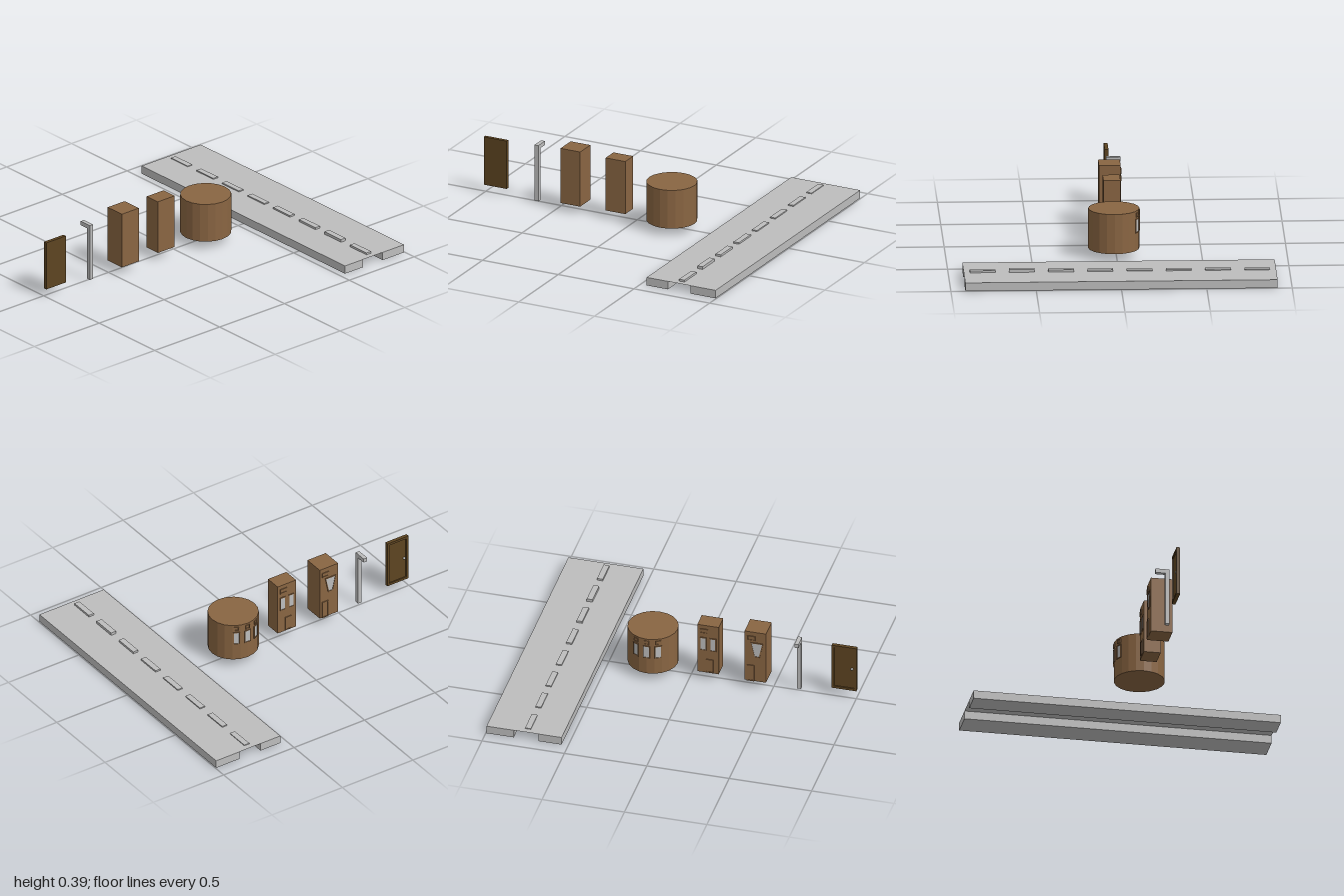
import * as THREE from 'three';

export function createModel() {
  const model = new THREE.Group();
  const mat = (name, color, extra = {}) => {
    const m = new THREE.MeshStandardMaterial({ color, ...extra });
    m.name = name;
    return m;
  };
  const grey = mat('concrete grey', 0xbdbdbd, { side: THREE.DoubleSide });
  const brown = mat('wall brown', 0x896542, { flatShading: true });
  const darkBrown = mat('door brown', 0x5d4421);

  const add = (name, geo, material, parent = model) => {
    const mesh = new THREE.Mesh(geo, material);
    mesh.name = name;
    parent.add(mesh);
    return mesh;
  };
  // box given by its limits on each axis
  const box = (name, material, [x0, x1], [y0, y1], [z0, z1], parent) => {
    const mesh = add(name, new THREE.BoxGeometry(x1 - x0, y1 - y0, z1 - z0), material, parent);
    mesh.position.set((x0 + x1) / 2, (y0 + y1) / 2, (z0 + z1) / 2);
    return mesh;
  };
  const group = (name) => {
    const g = new THREE.Group();
    g.name = name;
    model.add(g);
    return g;
  };
  // flat outline, wt wide at the top and wb wide at the bottom
  const outline = (Type, wt, wb, h) => new Type([
    new THREE.Vector2(-wb / 2, -h / 2), new THREE.Vector2(wb / 2, -h / 2),
    new THREE.Vector2(wt / 2, h / 2), new THREE.Vector2(-wt / 2, h / 2),
  ]);
  // framed opening facing +z, with a thin pane inside
  const opening = (name, wt, wb, h, pane) => {
    const g = new THREE.Group();
    g.name = name;
    const rim = outline(THREE.Shape, wt, wb, h);
    rim.holes.push(outline(THREE.Path, wt - 0.01, wb - 0.01, h - 0.01));
    add('frame', new THREE.ExtrudeGeometry(rim, { depth: 0.005, bevelEnabled: false }), brown, g);
    add('pane', new THREE.ShapeGeometry(outline(THREE.Shape, wt - 0.008, wb - 0.008, h - 0.008)), pane, g)
      .position.z = 0.002;
    return g;
  };
  const onBack = (parent, item, x, y, z) => {
    item.position.set(x, y, z);
    item.rotation.y = Math.PI;
    parent.add(item);
  };

  // road: two beams bridged by a thin deck, with raised lane dashes
  const road = group('road');
  const length = [-0.915, 0.915];
  box('rightBeam', grey, [0.54, 0.68], [0, 0.05], length, road);
  box('leftBeam', grey, [0.83, 0.995], [0, 0.05], length, road);
  const deck = add('deck', new THREE.PlaneGeometry(0.15, 1.83), grey, road);
  deck.rotation.x = -Math.PI / 2;
  deck.position.set(0.755, 0.05, 0);
  const tops = [0.055, 0.057, 0.057, 0.057, 0.06, 0.063, 0.067, 0.062];
  tops.forEach((top, i) => {
    const z = -0.805 + i * 0.23;
    box('laneDash', grey, [0.736, 0.771], [0.0495, top], [z - 0.075, z + 0.075], road);
  });

  // round house
  const round = group('roundHouse');
  add('roundWall', new THREE.CylinderGeometry(0.15, 0.15, 0.24, 20), brown, round)
    .position.set(0.237, 0.17, 0.015);
  const onRound = (item, angle, y) => {
    const r = 0.1485;
    item.position.set(0.237 + r * Math.sin(angle), y, 0.015 - r * Math.cos(angle));
    item.rotation.y = Math.PI - angle;
    round.add(item);
  };
  [-0.47, 0, 0.47].forEach((a) => {
    onRound(opening('window', 0.042, 0.042, 0.085, grey), a, 0.2);
    onRound(opening('smallWindow', 0.03, 0.03, 0.026, brown), a, 0.266);
  });

  // narrow house
  const narrow = group('narrowHouse');
  box('narrowWall', brown, [-0.175, -0.045], [0.05, 0.38], [-0.035, 0.065], narrow);
  [-0.08, -0.14].forEach((x) =>
    onBack(narrow, opening('window', 0.04, 0.04, 0.09, grey), x, 0.25, -0.035));
  onBack(narrow, opening('vent', 0.05, 0.05, 0.03, brown), -0.085, 0.34, -0.035);
  onBack(narrow, opening('houseDoor', 0.045, 0.045, 0.09, brown), -0.12, 0.1, -0.035);

  // tall house
  const tall = group('tallHouse');
  box('tallWall', brown, [-0.465, -0.335], [0.05, 0.393], [-0.048, 0.08], tall);
  onBack(tall, opening('taperedWindow', 0.075, 0.035, 0.1, grey), -0.41, 0.27, -0.048);
  onBack(tall, opening('vent', 0.05, 0.05, 0.03, brown), -0.375, 0.35, -0.048);
  onBack(tall, opening('houseDoor', 0.045, 0.045, 0.11, brown), -0.372, 0.105, -0.048);

  // street lamp with its arm reaching to the back
  const lamp = group('streetLamp');
  box('post', grey, [-0.665, -0.64], [0.01, 0.36], [0, 0.025], lamp);
  box('arm', grey, [-0.665, -0.64], [0.335, 0.36], [-0.058, 0], lamp);

  // door: plain front, framed back, knob
  const door = group('door');
  box('panel', darkBrown, [-1, -0.85], [0.05, 0.35], [0.01, 0.025], door);
  [[-1, -0.985], [-0.865, -0.85]].forEach((x) =>
    box('stile', darkBrown, x, [0.05, 0.35], [0.003, 0.01], door));
  [[0.05, 0.065], [0.335, 0.35]].forEach((y) =>
    box('rail', darkBrown, [-0.985, -0.865], y, [0.003, 0.01], door));
  add('knob', new THREE.SphereGeometry(0.008, 12, 8), grey, door).position.set(-0.972, 0.2, 0.006);

  return model;
}
